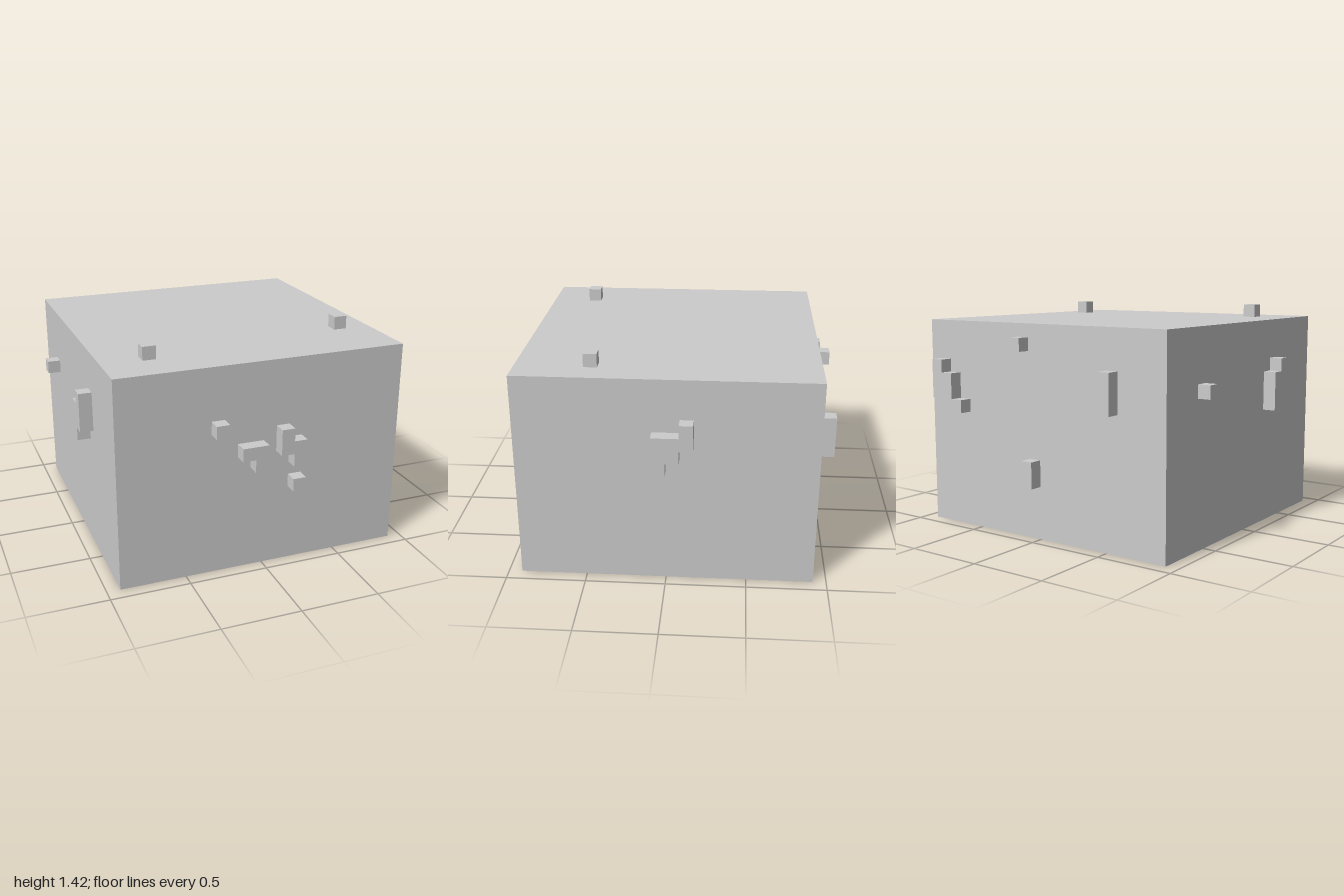
import * as THREE from 'three';

const U = 1 / 12; // size of one block
const material = new THREE.MeshStandardMaterial({ color: 0xcccccc, flatShading: true });

// One-block-thick stud outlined by neighbouring columns, each [bottom, top], from column `start`.
function studGeometry(start, columns, offset) {
  const points = [];
  const add = (x, y) => {
    const last = points[points.length - 1];
    if (!last || last.x !== x || last.y !== y) points.push(new THREE.Vector2(x, y));
  };
  columns.forEach(([bottom], i) => {
    add(start + i, bottom);
    add(start + i + 1, bottom);
  });
  for (let i = columns.length - 1; i >= 0; i--) {
    add(start + i + 1, columns[i][1]);
    add(start + i, columns[i][1]);
  }
  const geometry = new THREE.ExtrudeGeometry(new THREE.Shape(points), { depth: 1, bevelEnabled: false });
  return geometry.translate(0, 0, offset).scale(U, U, U);
}

// Each face: its turn from the front, distance from the origin, and studs in blocks
const faces = [
  { name: 'frontStuds', turn: [0, 0, 0], offset: 11, studs: [
    [-4, [[11, 12]]],
    [-2, [[9, 10], [8, 10]]],
    [1, [[9, 11], [8, 10]]],
    [2, [[6, 7]]],
  ] },
  { name: 'leftStuds', turn: [0, Math.PI / 2, 0], offset: 11, studs: [
    [-1, [[9, 12], [10, 12], [11, 13]]],
  ] },
  { name: 'backStuds', turn: [0, Math.PI, 0], offset: 11, studs: [
    [-10, [[10, 13], [10, 12]]],
    [-8, [[9, 10]]],
    [-2, [[14, 15]]],
    [-1, [[4, 6]]],
    [6, [[10, 13]]],
  ] },
  { name: 'rightStuds', turn: [0, -Math.PI / 2, 0], offset: 11, studs: [
    [-7, [[11, 12]]],
    [3, [[9, 12], [10, 13]]],
  ] },
  { name: 'topStuds', turn: [-Math.PI / 2, 0, 0], offset: 16, studs: [
    [-8, [[-8, -7]]],
    [8, [[-6, -5]]],
  ] },
];

export function createModel() {
  const model = new THREE.Group();
  model.name = 'studdedBlock';

  // Main block
  const body = new THREE.Mesh(new THREE.BoxGeometry(22 * U, 16 * U, 22 * U), material);
  body.name = 'body';
  body.position.y = 8 * U;
  model.add(body);

  // Raised studs on each face
  for (const { name, turn, offset, studs } of faces) {
    const group = new THREE.Group();
    group.name = name;
    group.rotation.set(...turn);
    studs.forEach(([start, columns], i) => {
      const stud = new THREE.Mesh(studGeometry(start, columns, offset), material);
      stud.name = `stud${i + 1}`;
      group.add(stud);
    });
    model.add(group);
  }
  return model;
}
